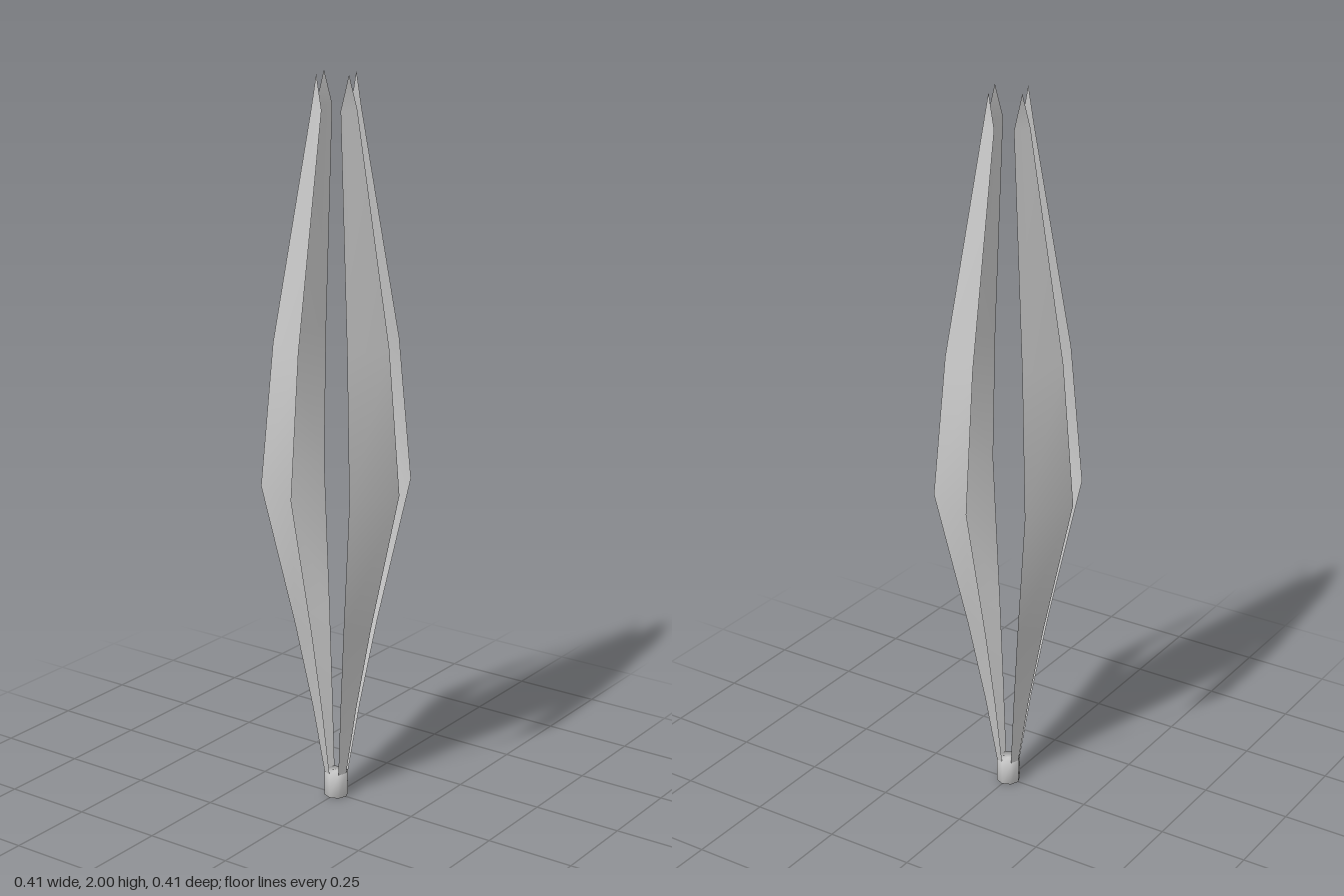
import * as THREE from 'three';
import { mergeVertices } from 'three/addons/utils/BufferGeometryUtils.js';

// Blade profile from root to shoulder: [radius, height]
const PROFILE = [[0.033, 0.07], [0.043, 0.13], [0.066, 0.27], [0.113, 0.51], [0.203, 0.91], [0.168, 1.3], [0.065, 1.91]];
const TIP_HEIGHT = 2;
const SPAN = Math.PI / 4;

// One thin blade: a 45 degree strip following the profile, closed by a pointed tip
function bladeGeometry() {
  const positions = [];
  const index = [];
  const c = Math.cos(SPAN), s = Math.sin(SPAN);
  PROFILE.forEach(([r, y], i) => {
    positions.push(r, y, 0, r * c, y, r * s);
    if (i > 0) {
      const a = 2 * (i - 1);
      index.push(a + 1, a, a + 2, a + 1, a + 2, a + 3);
    }
  });
  const r = PROFILE[PROFILE.length - 1][0];
  const n = 2 * PROFILE.length;
  positions.push(r * (1 + c) / 2, TIP_HEIGHT, r * s / 2);
  index.push(n - 1, n - 2, n);

  const geometry = new THREE.BufferGeometry();
  geometry.setAttribute('position', new THREE.Float32BufferAttribute(positions, 3));
  geometry.setIndex(index);
  geometry.computeVertexNormals();
  return geometry;
}

// Short octagonal socket with soft shading over its edges
function socketGeometry() {
  let geometry = new THREE.CylinderGeometry(0.033, 0.033, 0.07, 8);
  geometry.deleteAttribute('normal');
  geometry.deleteAttribute('uv');
  geometry = mergeVertices(geometry);
  geometry.computeVertexNormals();
  return geometry.translate(0, 0.035, 0);
}

export function createModel() {
  const model = new THREE.Group();
  const material = new THREE.MeshStandardMaterial({ color: 0xcccccc, side: THREE.DoubleSide });

  const socket = new THREE.Mesh(socketGeometry(), material);
  socket.name = 'socket';
  model.add(socket);

  // Four blades on alternate sides of the octagon
  const blades = new THREE.Group();
  blades.name = 'blades';
  const geometry = bladeGeometry();
  for (let i = 0; i < 4; i++) {
    const blade = new THREE.Mesh(geometry, material);
    blade.name = 'blade' + (i + 1);
    blade.rotation.y = i * Math.PI / 2;
    blades.add(blade);
  }
  model.add(blades);
  return model;
}
